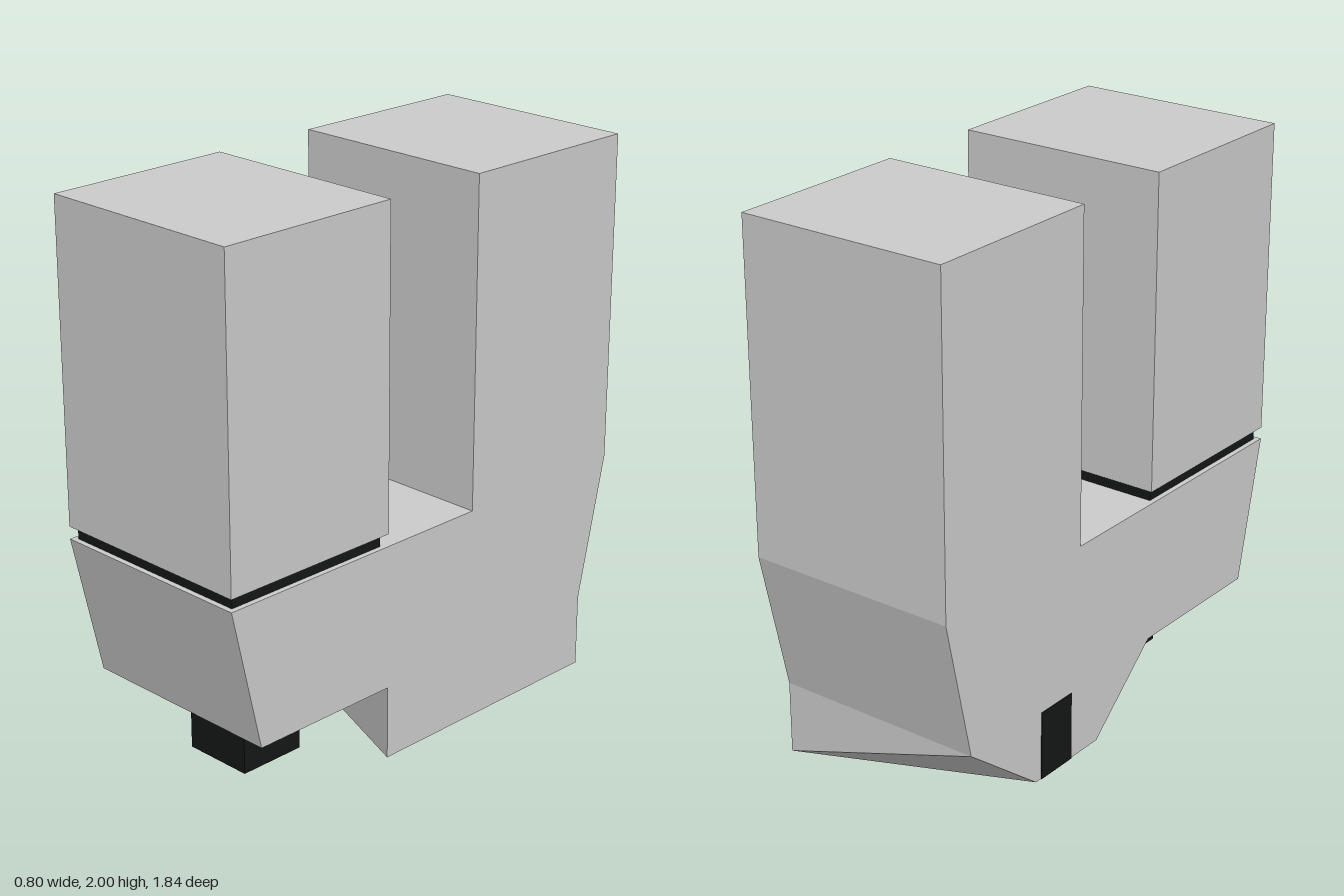
import * as THREE from 'three';

const HALF = 0.4; // half width of the whole model

const grey = new THREE.MeshStandardMaterial({ color: 0xcccccc, flatShading: true });
const black = new THREE.MeshStandardMaterial({ color: 0x141716, flatShading: true });

function add(group, name, geometry, material) {
  const mesh = new THREE.Mesh(geometry, material);
  mesh.name = name;
  group.add(mesh);
}

// Box given by its lowest and highest corner
function boxBetween([x0, y0, z0], [x1, y1, z1]) {
  return new THREE.BoxGeometry(x1 - x0, y1 - y0, z1 - z0)
    .translate((x0 + x1) / 2, (y0 + y1) / 2, (z0 + z1) / 2);
}

// Side profile of [z, y] points, extruded across the full width
function sideProfile(points) {
  const shape = new THREE.Shape(points.map(([z, y]) => new THREE.Vector2(z, y)));
  return new THREE.ExtrudeGeometry(shape, { depth: 2 * HALF, bevelEnabled: false })
    .translate(0, 0, -HALF)
    .rotateY(-Math.PI / 2);
}

// Base block under the body; its right side tapers towards the ground
function keelGeometry() {
  const top = 0.27;
  const corners = [
    [HALF, top, 0.21], [-HALF, top, 0.21], [-HALF, top, -0.8], [HALF, top, -0.8],
    [HALF, 0, 0.21], [-HALF, 0, -0.1], [-HALF, 0, -0.45], [HALF, 0, -0.8],
  ];
  const faces = [
    1, 5, 0, 0, 5, 4, // front
    2, 6, 5, 2, 5, 1, // right
    3, 7, 2, 2, 7, 6, // back
    0, 4, 7, 0, 7, 3, // left
    4, 5, 6, 4, 6, 7, // underside
  ];
  const geometry = new THREE.BufferGeometry();
  geometry.setAttribute('position', new THREE.Float32BufferAttribute(corners.flat(), 3));
  geometry.setIndex(faces);
  const flat = geometry.toNonIndexed();
  flat.computeVertexNormals();
  return flat;
}

// Wedge-shaped rear foot set into the tapered side, a hair proud of it
function rearFootGeometry() {
  const shape = new THREE.Shape([[-0.402, 0.25], [-0.402, 0.42], [-0.12, 0.56]]
    .map(([x, y]) => new THREE.Vector2(x, y)));
  return new THREE.ExtrudeGeometry(shape, { depth: 0.26, bevelEnabled: false })
    .rotateX(-Math.PI / 2)
    .translate(0, -0.002, 0);
}

export function createModel() {
  const model = new THREE.Group();
  model.name = 'twoTowerBlock';

  // Body and rear tower in one piece
  add(model, 'bodyWithRearTower', sideProfile([
    [0.92, 0.8], [-0.205, 0.8], [-0.205, 2], [-0.92, 2],
    [-0.92, 0.8], [-0.8, 0.27], [0.8, 0.27],
  ]), grey);
  add(model, 'base', keelGeometry(), grey);

  // Front tower on a dark recessed joint
  add(model, 'joint', boxBetween([-0.38, 0.8, 0.23], [0.38, 0.85, 0.9]), black);
  add(model, 'frontTower', boxBetween([-HALF, 0.845, 0.21], [HALF, 2, 0.92]), grey);

  // Feet
  add(model, 'frontFoot', boxBetween([-0.135, 0, 0.375], [0.135, 0.27, 0.635]), black);
  add(model, 'rearFoot', rearFootGeometry(), black);

  return model;
}
